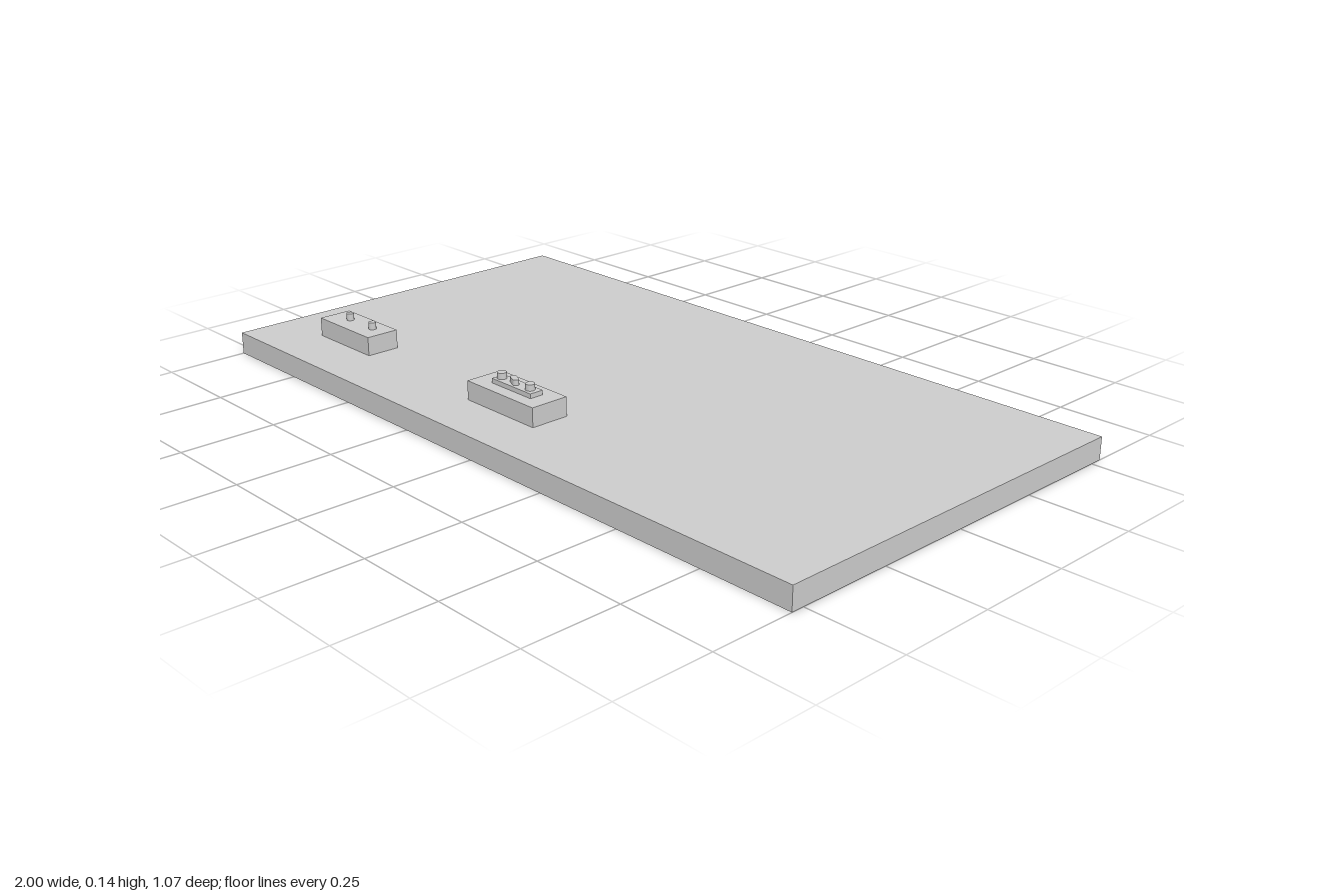
import * as THREE from 'three';

export function createModel() {
  const model = new THREE.Group();
  const material = new THREE.MeshStandardMaterial({ color: 0xcccccc });

  function add(name, geometry, x, y, z) {
    const mesh = new THREE.Mesh(geometry, material);
    mesh.name = name;
    mesh.position.set(x, y, z);
    model.add(mesh);
    return mesh;
  }

  // Box given by its extents along each axis
  function box(name, x0, x1, y0, y1, z0, z1) {
    return add(name, new THREE.BoxGeometry(x1 - x0, y1 - y0, z1 - z0),
      (x0 + x1) / 2, (y0 + y1) / 2, (z0 + z1) / 2);
  }

  // Upright round pin
  function pin(name, x, z, y0, y1, radius) {
    return add(name, new THREE.CylinderGeometry(radius, radius, y1 - y0, 24), x, (y0 + y1) / 2, z);
  }

  // Base slab
  box('board', -1, 1, 0, 0.059, -0.533, 0.533);

  // Left-hand block with two pins
  box('pinBlock', -0.832, -0.612, 0.059, 0.109, 0.296, 0.387);
  for (const x of [-0.765, -0.663]) pin('blockPin', x, 0.337, 0.109, 0.128, 0.01);

  // Middle block with a raised plinth and two pins
  box('plinthBlock', -0.187, 0.059, 0.059, 0.109, 0.286, 0.391);
  box('plinth', -0.134, 0.011, 0.109, 0.121, 0.319, 0.357);
  for (const x of [-0.118, -0.012]) pin('plinthPin', x, 0.338, 0.121, 0.137, 0.012);

  // Slanted rounded key between the plinth pins
  const r = 0.008, half = 0.01;
  const outline = new THREE.Shape();
  outline.absarc(half, 0, r, -Math.PI / 2, Math.PI / 2);
  outline.absarc(-half, 0, r, Math.PI / 2, Math.PI * 1.5);
  const keyGeometry = new THREE.ExtrudeGeometry(outline, { depth: 0.014, bevelEnabled: false });
  keyGeometry.rotateX(-Math.PI / 2);
  add('key', keyGeometry, -0.07, 0.121, 0.338).rotation.y = -0.4;

  return model;
}
